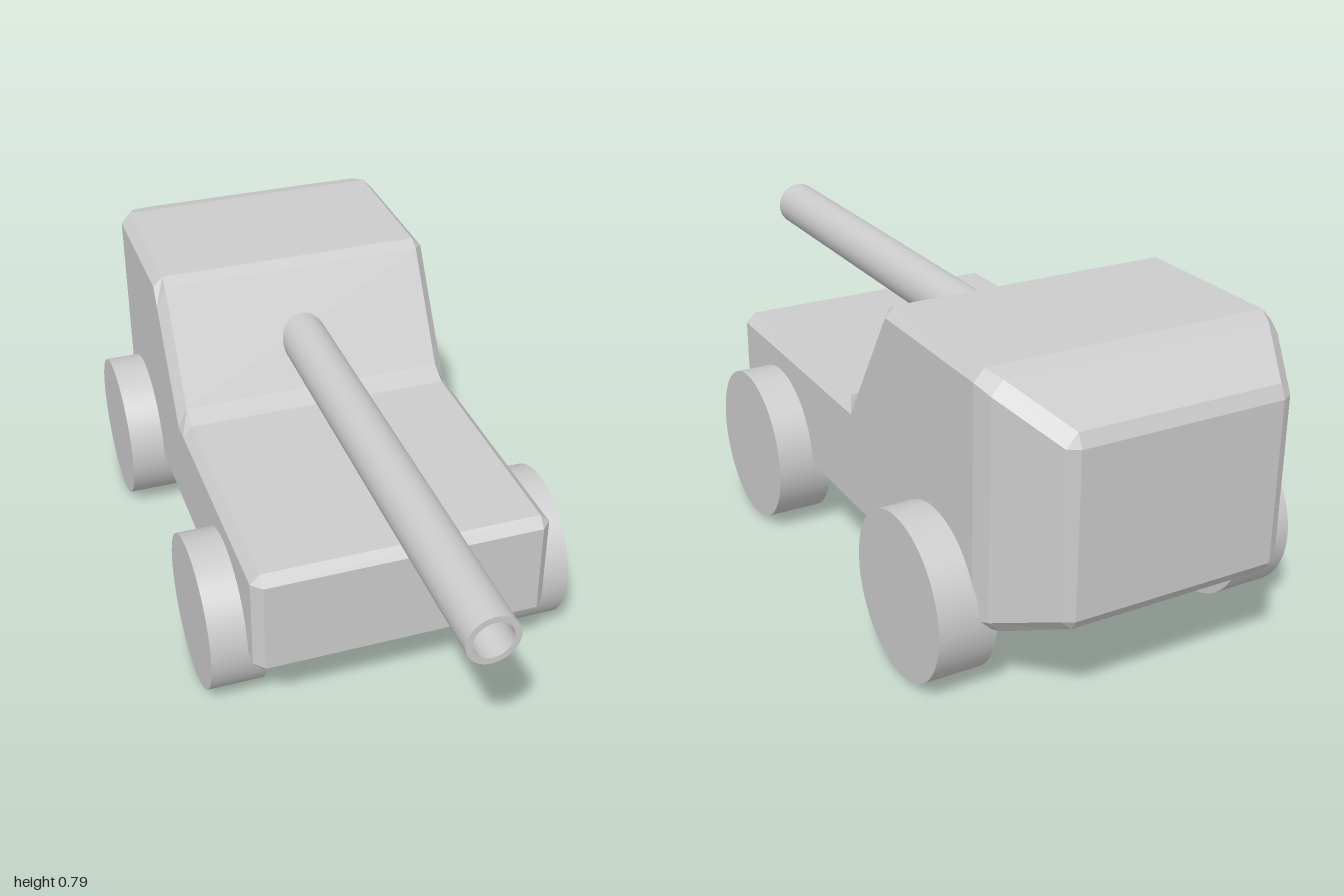
import * as THREE from 'three';

const grey = new THREE.MeshStandardMaterial({ color: 0xcccccc });
const greyFlat = new THREE.MeshStandardMaterial({ color: 0xcccccc, flatShading: true });

// Hull stations from front to back: z, bottom, top, half width, side chamfer, bottom chamfer, top chamfer
const stations = [
  [0.52, 0.203, 0.447, 0.35, 0, 0, 0],
  [0.495, 0.18, 0.472, 0.375, 0.025, 0.025, 0.025],
  [-0.14, 0.18, 0.472, 0.375, 0.025, 0.025, 0.027],
  [-0.19, 0.18, 0.497, 0.375, 0.025, 0.025, 0.052],
  [-0.36, 0.18, 0.768, 0.375, 0.025, 0.025, 0.055],
  [-0.39, 0.18, 0.785, 0.375, 0.025, 0.025, 0.025],
  [-0.79, 0.18, 0.785, 0.375, 0.025, 0.025, 0.028],
  [-0.835, 0.19, 0.773, 0.36, 0.028, 0.028, 0.032],
  [-0.985, 0.255, 0.702, 0.277, 0.027, 0.025, 0.032],
  [-1, 0.28, 0.67, 0.25, 0, 0, 0],
];

// Loft chamfered rectangles along z and cap both ends
function hullGeometry() {
  const pos = [];
  const index = [];
  for (const [z, b, t, w, cx, cb, ct] of stations) {
    const half = [[w - cx, b], [w, b + cb], [w, t - ct], [w - cx, t]];
    const ring = [...half, ...half.map(([x, y]) => [-x, y]).reverse()];
    ring.forEach(([x, y]) => pos.push(x, y, z));
  }
  for (let s = 0; s < stations.length - 1; s++) {
    for (let i = 0; i < 8; i++) {
      const a = s * 8 + i;
      const b = s * 8 + (i + 1) % 8;
      index.push(a, a + 8, b, b, a + 8, b + 8);
    }
  }
  const last = (stations.length - 1) * 8;
  for (let i = 1; i < 7; i++) {
    index.push(0, i, i + 1);
    index.push(last, last + i + 1, last + i);
  }
  const g = new THREE.BufferGeometry();
  g.setAttribute('position', new THREE.Float32BufferAttribute(pos, 3));
  g.setIndex(index);
  const flat = g.toNonIndexed();
  flat.computeVertexNormals();
  return flat;
}

export function createModel() {
  const model = new THREE.Group();
  const add = (name, geometry, material) => {
    const mesh = new THREE.Mesh(geometry, material);
    mesh.name = name;
    model.add(mesh);
    return mesh;
  };

  add('hull', hullGeometry(), greyFlat);

  // Gun barrel with a hollow muzzle; profile is radius and z
  const outer = [[0, -0.45], [0.0625, -0.45], [0.0625, 1]];
  const rim = [[0.0625, 1], [0.047, 1]];
  const bore = [[0.047, 1], [0.047, 0.7], [0, 0.7]];
  [['barrel', outer], ['muzzleRim', rim], ['bore', bore]].forEach(([name, pts]) => {
    const g = new THREE.LatheGeometry(pts.map(([r, z]) => new THREE.Vector2(r, z)), 32);
    add(name, g.rotateX(Math.PI / 2), grey).position.y = 0.603;
  });

  // Four solid wheels
  const wheel = new THREE.CylinderGeometry(0.198, 0.198, 0.141, 48).rotateZ(Math.PI / 2);
  for (const [end, z] of [['front', 0.256], ['rear', -0.617]]) {
    for (const [side, sign] of [['Left', 1], ['Right', -1]]) {
      add(end + side + 'Wheel', wheel, grey).position.set(sign * 0.3965, 0.198, z);
    }
  }
  return model;
}
